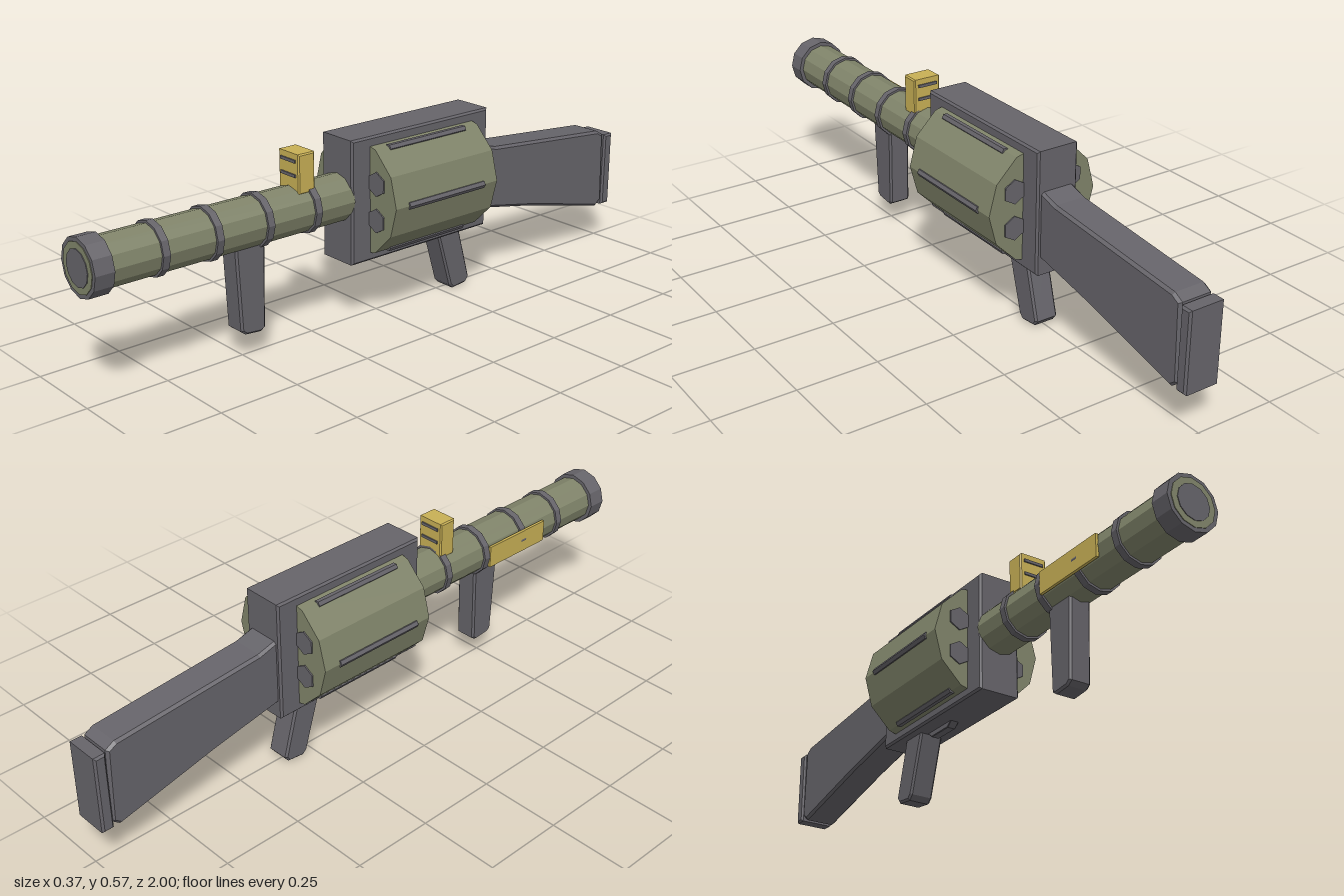
import * as THREE from 'three';

const mat = (name, color) => {
  const m = new THREE.MeshStandardMaterial({ color, flatShading: true });
  m.name = name;
  return m;
};

export function createModel() {
  const root = new THREE.Group();
  root.name = 'toyLauncher';
  const olive = mat('olive', 0x80846a);
  const grey = mat('darkGrey', 0x66646a);
  const yellow = mat('mustard', 0xc8b055);

  const add = (name, geometry, material) => {
    const mesh = new THREE.Mesh(geometry, material);
    mesh.name = name;
    root.add(mesh);
    return mesh;
  };

  // Faceted cylinder lying along z between z0 and z1
  const rod = (name, r, z0, z1, y, material, sides = 12, x = 0, turn = 0) => {
    const g = new THREE.CylinderGeometry(r, r, z1 - z0, sides);
    g.rotateX(Math.PI / 2).rotateZ(turn).translate(x, y, (z0 + z1) / 2);
    return add(name, g, material);
  };

  // Side outline of [z, y] points, extruded across x with chamfered edges
  const slab = (name, points, halfWidth, bevel, material) => {
    const shape = new THREE.Shape(points.map(([z, y]) => new THREE.Vector2(z, y)));
    const g = new THREE.ExtrudeGeometry(shape, {
      depth: 2 * (halfWidth - bevel), bevelEnabled: true, bevelSegments: 1,
      bevelSize: bevel, bevelThickness: bevel, bevelOffset: -bevel,
    });
    g.translate(0, 0, -(halfWidth - bevel)).rotateY(-Math.PI / 2);
    return add(name, g, material);
  };
  const rect = (z0, z1, y0, y1) => [[z0, y0], [z1, y0], [z1, y1], [z0, y1]];

  // Receiver frame
  slab('frame', rect(-0.392, 0.148, 0.2, 0.577), 0.067, 0.006, grey);

  // Drum with chamber caps at both ends and raised ribs
  const drumY = 0.387;
  rod('drum', 0.18, -0.325, 0.08, drumY, olive);
  for (let i = 0; i < 6; i++) {
    const a = (i * Math.PI) / 3;
    const c = a + Math.PI / 6;
    rod('chamberCap', 0.037, -0.329, 0.084, drumY + 0.111 * Math.sin(c), grey, 6, 0.111 * Math.cos(c));
    rod('drumRib', 0.012, -0.27, 0.03, drumY + 0.175 * Math.sin(a), grey, 6,
      0.175 * Math.cos(a), a + Math.PI / 2);
  }

  // Barrel, bands and muzzle
  const barrelY = 0.397;
  rod('barrel', 0.072, 0.14, 0.998, barrelY, olive);
  for (const z of [0.275, 0.442, 0.61, 0.78]) {
    rod('barrelBand', 0.079, z - 0.011, z + 0.011, barrelY, grey);
  }
  rod('muzzleCap', 0.084, 0.938, 0.996, barrelY, grey);
  rod('muzzleBore', 0.053, 0.98, 1.0, barrelY, grey);

  // Side plate on the barrel's right
  add('sidePlate', new THREE.BoxGeometry(0.009, 0.07, 0.25).translate(-0.0735, 0.395, 0.58), yellow);

  // Sight with slots front and back
  slab('sight', rect(0.264, 0.322, 0.45, 0.567), 0.045, 0.004, yellow);
  for (const y of [0.503, 0.545]) {
    for (const z of [0.264, 0.322]) {
      add('sightSlot', new THREE.BoxGeometry(0.064, 0.009, 0.008).translate(0, y, z), grey);
    }
  }

  // Grips and trigger
  slab('foreGrip', [[0.535, 0.345], [0.523, 0.09], [0.508, 0.078], [0.455, 0.073],
    [0.44, 0.083], [0.434, 0.345]], 0.035, 0.006, grey);
  slab('rearGrip', [[-0.212, 0.23], [-0.275, 0.018], [-0.29, 0.003], [-0.345, 0.009],
    [-0.358, 0.026], [-0.302, 0.23]], 0.038, 0.006, grey);
  slab('trigger', [[-0.08, 0.21], [-0.11, 0.184], [-0.2, 0.184], [-0.23, 0.21]], 0.014, 0.002, grey);

  // Shoulder stock and butt pad
  slab('stock', [[-0.38, 0.458], [-0.45, 0.438], [-0.93, 0.396], [-0.958, 0.38], [-0.965, 0.15],
    [-0.94, 0.13], [-0.62, 0.205], [-0.38, 0.252]], 0.054, 0.008, grey);
  slab('buttPad', rect(-1.0, -0.963, 0.133, 0.377), 0.057, 0.006, grey);

  return root;
}
